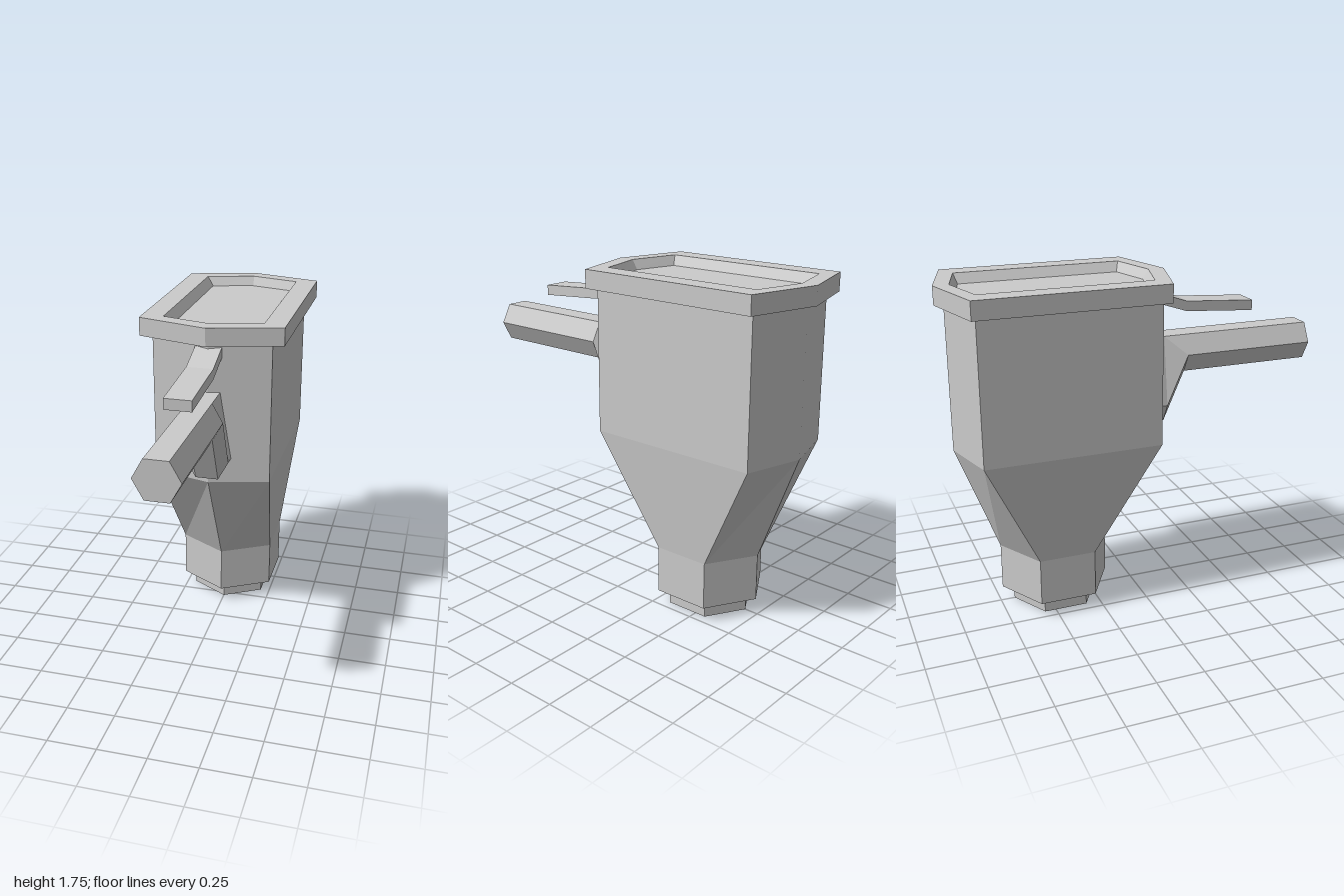
import * as THREE from 'three';

// Skin a stack of convex rings (counter-clockwise seen from the last ring) and cap both ends
function loft(name, rings) {
  const pos = [];
  const tri = (a, b, c) => pos.push(...a, ...b, ...c);
  const n = rings[0].length;
  for (let r = 0; r < rings.length - 1; r++) {
    const lo = rings[r], up = rings[r + 1];
    for (let i = 0; i < n; i++) {
      const j = (i + 1) % n;
      tri(lo[i], lo[j], up[j]);
      tri(lo[i], up[j], up[i]);
    }
  }
  const first = rings[0], last = rings[rings.length - 1];
  for (let i = 1; i < n - 1; i++) {
    tri(first[0], first[i + 1], first[i]);
    tri(last[0], last[i], last[i + 1]);
  }
  const geo = new THREE.BufferGeometry();
  geo.setAttribute('position', new THREE.Float32BufferAttribute(pos, 3));
  geo.computeVertexNormals();
  const mesh = new THREE.Mesh(geo, new THREE.MeshStandardMaterial({ color: 0xcccccc, flatShading: true }));
  mesh.name = name;
  return mesh;
}

// Horizontal six-sided outline: half width, front tip, front and back shoulders, back tip
const outline = (y, w, front, fs, bs, back) => [
  [0, y, front], [w, y, fs], [w, y, bs], [0, y, back], [-w, y, bs], [-w, y, fs],
];

// Upright six-sided handle section at depth z
const gripSection = (z, top, shoulder, bottom) => [
  [-0.06, bottom, z], [0.06, bottom, z], [0.115, shoulder, z],
  [0.06, top, z], [-0.06, top, z], [-0.115, shoulder, z],
];

// Rectangular lever section at depth z
const leverSection = (z, bottom, top) => {
  const w = 0.068;
  return [[-w, bottom, z], [w, bottom, z], [w, top, z], [-w, top, z]];
};

export function createModel() {
  const group = new THREE.Group();
  group.name = 'container';

  const nozzle = [0.2, -0.215, -0.33, -0.56, -0.675];
  const collar = [0.255, -0.15, -0.295, -0.592, -0.738];
  const body = [0.31, 0.142, 0.058, -0.868, -0.953];
  const rim = [0.373, 0.185, 0.08, -0.9, -1.0];

  group.add(
    loft('nozzle', [outline(0, ...nozzle), outline(0.083, ...nozzle)]),
    // Collar, tapering shoulder and straight hopper
    loft('body', [
      outline(0.083, ...collar), outline(0.332, ...collar),
      outline(0.907, ...body), outline(1.655, ...body),
    ]),
    // Rim with the shallow recess sunk into its top
    loft('rim', [
      outline(1.655, ...rim), outline(1.75, ...rim),
      outline(1.75, 0.26, 0.1, 0.03, -0.85, -0.92),
      outline(1.7, 0.225, 0.07, 0.01, -0.835, -0.895),
    ]),
    // Handle with its deep gusset against the body
    loft('handle', [
      gripSection(0.08, 1.405, 1.042, 0.942),
      gripSection(0.168, 1.405, 1.042, 0.942),
      gripSection(0.283, 1.405, 1.306, 1.206),
      gripSection(1, 1.405, 1.306, 1.206),
    ]),
    loft('lever', [
      leverSection(0.09, 1.597, 1.651),
      leverSection(0.29, 1.53, 1.583),
      leverSection(0.668, 1.503, 1.558),
    ]),
  );
  return group;
}
